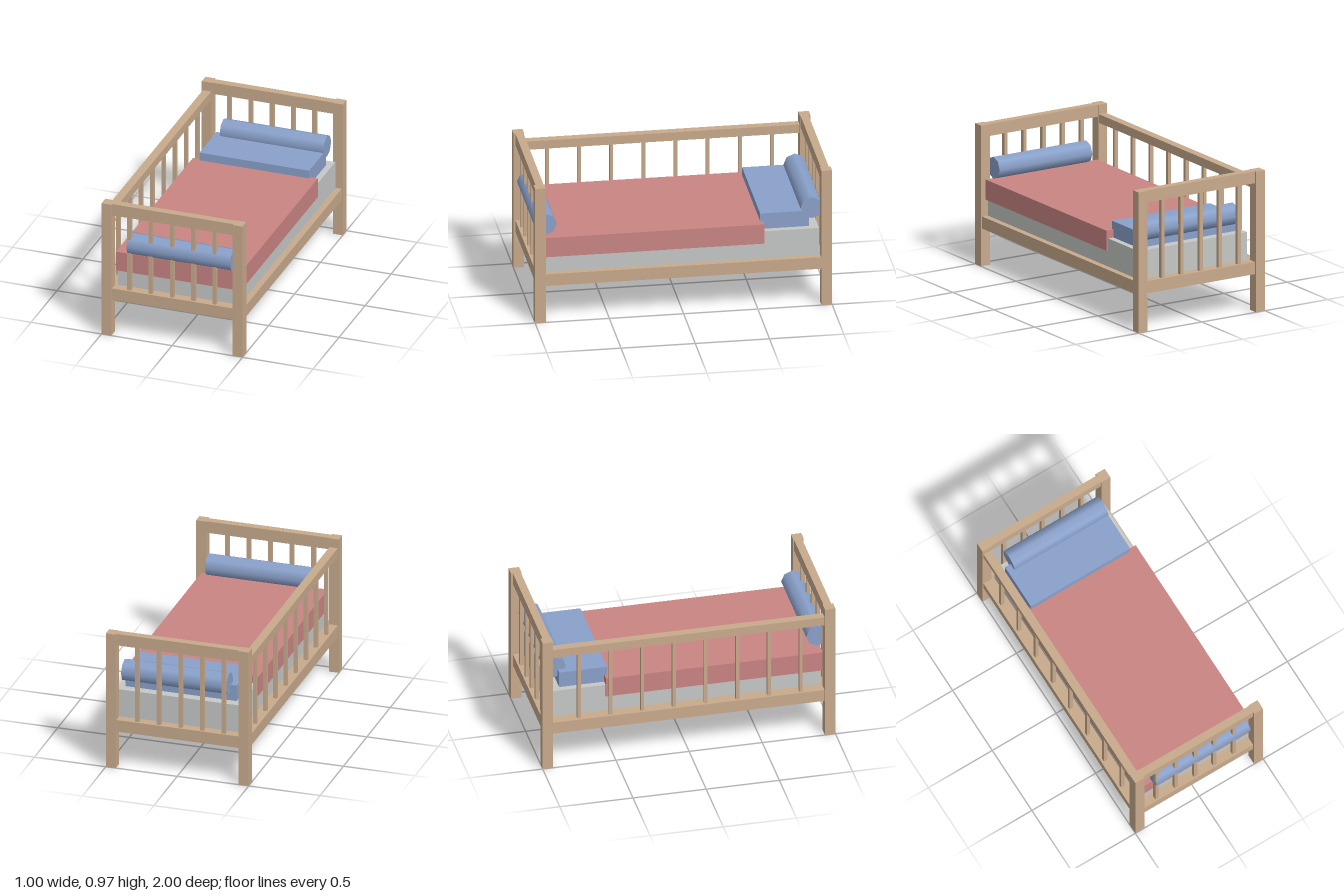
import * as THREE from 'three';

const material = (name, color) => {
  const m = new THREE.MeshStandardMaterial({ color });
  m.name = name;
  return m;
};

export function createModel() {
  const wood = material('wood', 0xc8aa8c);
  const red = material('red blanket', 0xc98583);
  const blue = material('blue pillow', 0x8aa1ca);
  const grey = material('grey mattress', 0xc5c8c6);

  const bed = new THREE.Group();
  bed.name = 'bed';

  // Box given by its limits along each axis
  const box = (name, mat, [x0, x1], [y0, y1], [z0, z1], parent = bed) => {
    const mesh = new THREE.Mesh(new THREE.BoxGeometry(x1 - x0, y1 - y0, z1 - z0), mat);
    mesh.position.set((x0 + x1) / 2, (y0 + y1) / 2, (z0 + z1) / 2);
    mesh.name = name;
    parent.add(mesh);
  };
  const around = (c, size) => [c - size / 2, c + size / 2];

  // Head and foot ends: two posts, top rail and five slats each
  for (const side of [-1, 1]) {
    const end = new THREE.Group();
    end.name = side > 0 ? 'footEnd' : 'headEnd';
    bed.add(end);
    for (const x of [-0.465, 0.465]) {
      box('post', wood, around(x, 0.07), [0, 0.973], around(side * 0.964, 0.072), end);
    }
    box('topRail', wood, [-0.43, 0.43], [0.89, 0.973], around(side * 0.96, 0.054), end);
    for (let i = 0; i < 5; i++) {
      box('slat', wood, around(-0.314 + i * 0.151, 0.027), [0.345, 0.89], around(side * 0.96, 0.026), end);
    }
  }

  // Solid base
  box('base', wood, [-0.493, 0.493], [0.261, 0.345], [-0.987, 0.987]);

  // Guard rail on one long side
  const guard = new THREE.Group();
  guard.name = 'guardRail';
  bed.add(guard);
  box('sideRail', wood, [-0.492, -0.434], [0.848, 0.908], [-0.928, 0.928], guard);
  for (let i = 0; i < 8; i++) {
    box('sideSlat', wood, around(-0.463, 0.026), [0.345, 0.848], around(0.77 - i * 0.2165, 0.023), guard);
  }

  // Bedding
  box('mattress', grey, [-0.411, 0.45], [0.345, 0.54], [-0.92, 0.92]);
  box('blanket', red, [-0.422, 0.463], [0.456, 0.595], [-0.549, 0.932]);
  box('pillow', blue, [-0.369, 0.408], [0.54, 0.652], [-0.857, -0.53]);

  // Eight-sided bolsters with smooth sides
  for (const z of [-0.877, 0.917]) {
    const bolster = new THREE.Mesh(new THREE.CylinderGeometry(0.076, 0.076, 0.735, 8), blue);
    bolster.rotation.z = Math.PI / 2;
    bolster.position.set(0.041, 0.671, z);
    bolster.name = 'bolster';
    bed.add(bolster);
  }
  return bed;
}
